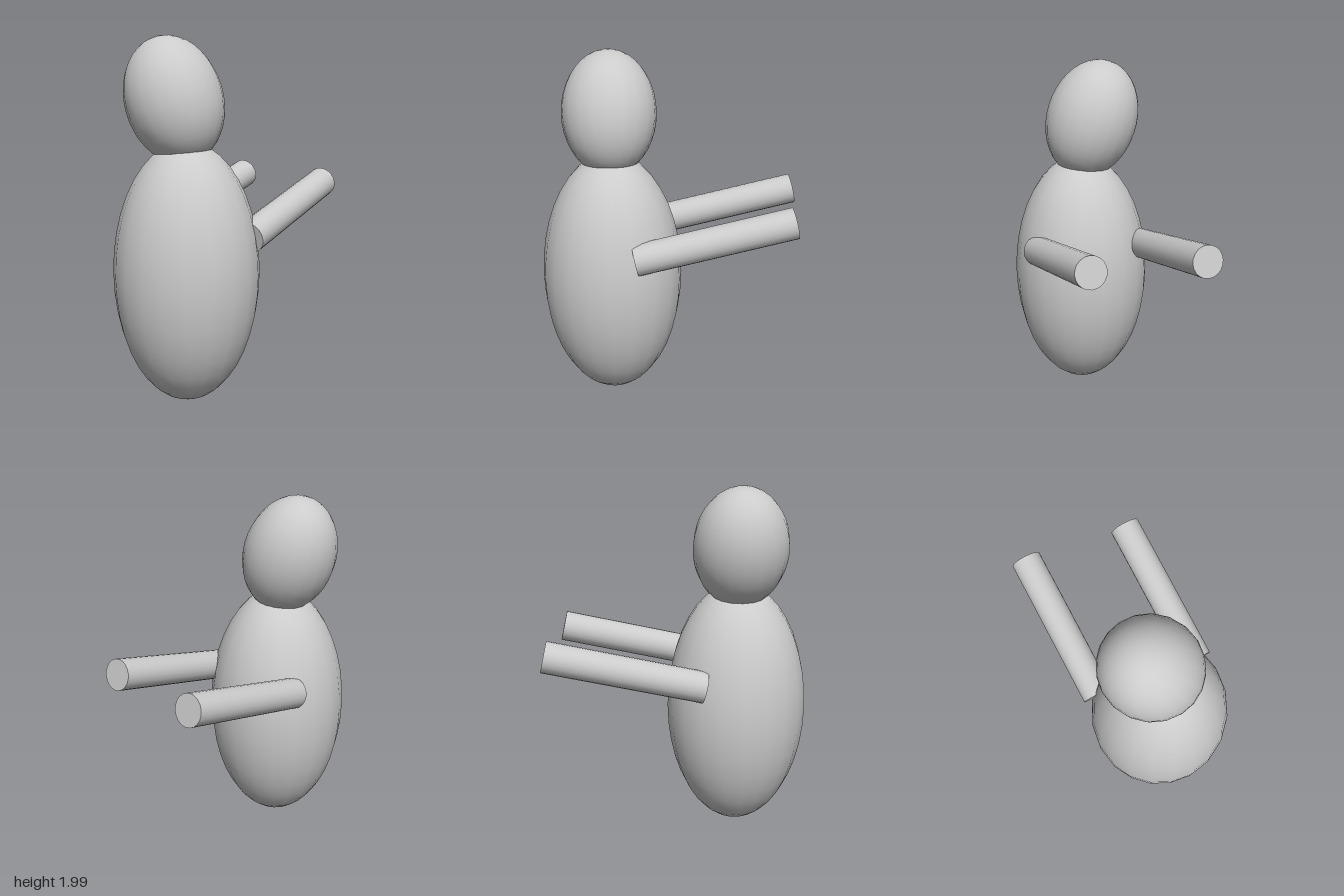
import * as THREE from 'three';

const material = new THREE.MeshStandardMaterial({ color: 0xcccccc });

function add(group, name, geometry, position) {
  const mesh = new THREE.Mesh(geometry, material);
  mesh.name = name;
  mesh.position.set(...position);
  group.add(mesh);
  return mesh;
}

// Ellipsoid with radii rx, ry, rz
const ellipsoid = (rx, ry, rz) => new THREE.SphereGeometry(1, 20, 20).scale(rx, ry, rz);

export function createModel() {
  const group = new THREE.Group();
  group.name = 'figure';

  // Egg-shaped body
  add(group, 'body', ellipsoid(0.4, 0.72, 0.4), [0, 0.725, 0.35]);

  // Head, tipped to its right
  const head = add(group, 'head', ellipsoid(0.265, 0.348, 0.265), [-0.075, 1.66, 0.35]);
  head.rotation.z = 0.33;

  // Arms reach back and slightly up, the right one set further back
  const arms = [['leftArm', 0.317, -0.213], ['rightArm', -0.288, -0.298]];
  for (const [name, x, z] of arms) {
    const arm = add(group, name, new THREE.CylinderGeometry(0.0875, 0.0875, 0.892, 20), [x, 1.029, z]);
    arm.rotation.x = -Math.PI / 2 + 0.224;
  }

  return group;
}
